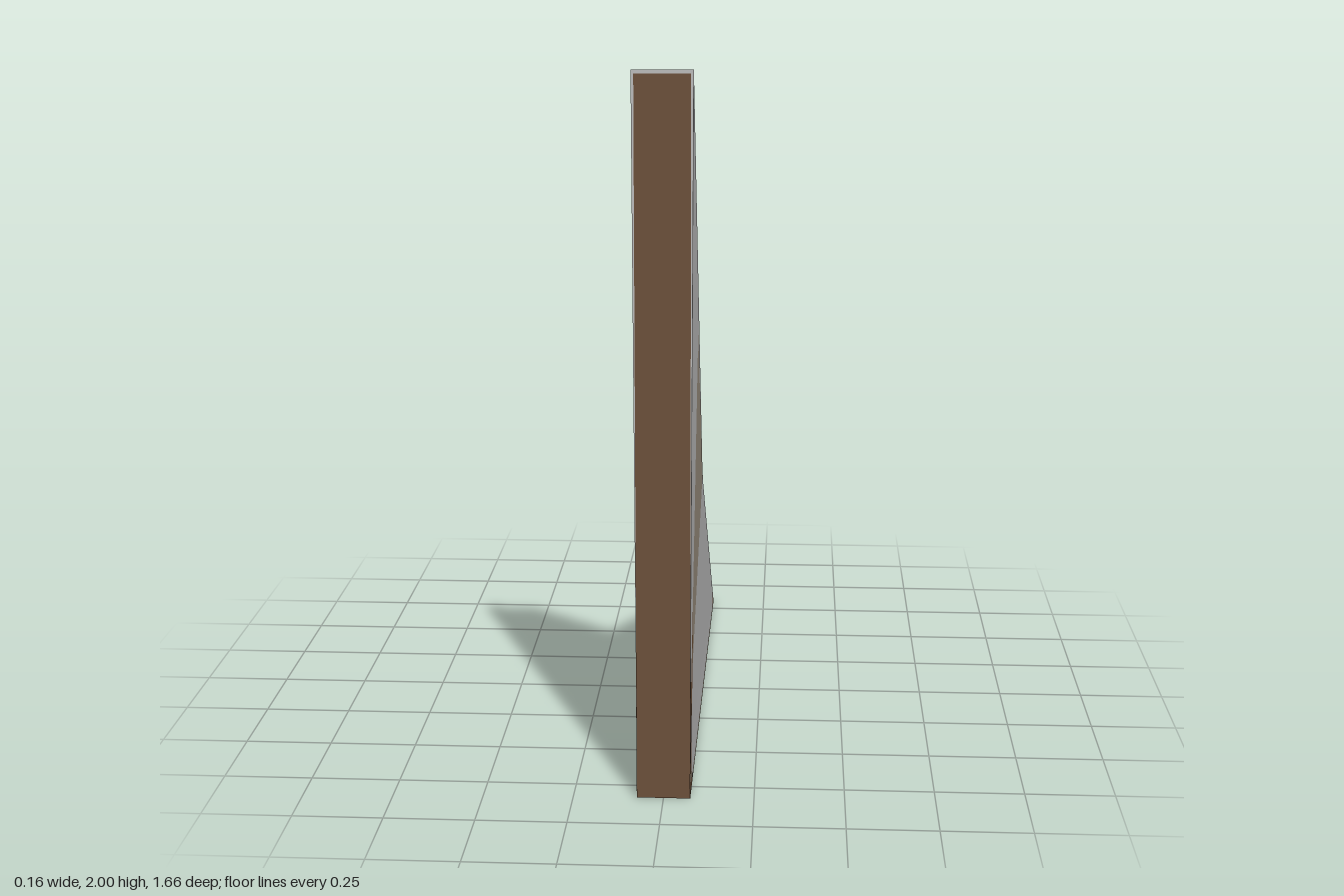
import * as THREE from 'three';

const paint = (name, color) => {
  const m = new THREE.MeshStandardMaterial({ color, side: THREE.DoubleSide });
  m.name = name;
  return m;
};

// Half thickness of the wedge, flaring slightly toward the tip.
const half = (y) => 0.074 + 0.007 * THREE.MathUtils.clamp((y - 0.2) / 1.8, 0, 1);

// Flat side patch from [z, y] points; side is +1 (left) or -1 (right).
function sidePatch(points, side) {
  const shape = new THREE.Shape(points.map(([z, y]) => new THREE.Vector2(z, y)));
  const geo = new THREE.ShapeGeometry(shape);
  const p = geo.attributes.position;
  for (let i = 0; i < p.count; i++) {
    const z = p.getX(i), y = p.getY(i);
    p.setXYZ(i, side * half(y), y, z);
  }
  if (side > 0) geo.setIndex(Array.from(geo.index.array).reverse());
  const flat = geo.toNonIndexed();
  flat.computeVertexNormals();
  return flat;
}

// Four-cornered face, corners counter-clockwise from outside.
function quad(a, b, c, d) {
  const geo = new THREE.BufferGeometry();
  geo.setAttribute('position', new THREE.Float32BufferAttribute([a, b, c, a, c, d].flat(), 3));
  geo.computeVertexNormals();
  return geo;
}

// Face across the thickness, between two profile points [z, y].
const band = ([z0, y0], [z1, y1]) => quad(
  [-half(y0), y0, z0], [half(y0), y0, z0], [half(y1), y1, z1], [-half(y1), y1, z1]);

export function createModel() {
  const model = new THREE.Group();
  model.name = 'wedgeButtress';
  const stone = paint('light grey stone', 0xbdbdbd);
  const plaster = paint('taupe plaster', 0x998e7e);
  const timber = paint('brown timber', 0x6c503a);
  const add = (name, geo, mat) => {
    const mesh = new THREE.Mesh(geo, mat);
    mesh.name = name;
    model.add(mesh);
  };

  // Upper stone and front post are alike on both sides
  for (const s of [1, -1]) {
    const tag = s > 0 ? 'left' : 'right';
    add(tag + 'UpperStone', sidePatch([[0.83, 0.36], [0.83, 2], [0.81, 1.97], [0.19, 0.82],
      [0.16, 0.765], [0.49, 1.24], [0.72, 0.52], [0.8, 0.3]], s), stone);
    add(tag + 'BackPost', sidePatch([[-0.83, 0], [-0.72, 0], [-0.72, 0.06], [-0.73, 0.076]], s), timber);
  }

  // Left side: stone facing over the lower part
  add('leftFrontPost', sidePatch([[0.83, 0], [0.83, 0.36], [0.8, 0.3], [0.72, 0.52],
    [0.71, 0.35], [0.77, 0.16], [0.75, 0.03], [0.72, 0]], 1), timber);
  add('leftPlaster', sidePatch([[0.72, 0.52], [0.49, 1.24], [0.16, 0.765], [0.14, 0.74],
    [0.71, 0.35]], 1), plaster);
  add('leftLowerStone', sidePatch([[0.77, 0.16], [0.71, 0.35], [0.14, 0.74], [0.1, 0.7],
    [-0.73, 0.076], [-0.72, 0.06], [-0.72, 0.02], [0.74, 0.02]], 1), stone);
  add('leftSill', sidePatch([[0.72, 0], [0.74, 0.02], [-0.72, 0.02], [-0.72, 0]], 1), plaster);

  // Right side: plaster panels between exposed posts
  add('rightFrontPost', sidePatch([[0.83, 0], [0.83, 0.36], [0.8, 0.3], [0.72, 0.52], [0.72, 0]], -1), timber);
  add('rightFrontPlaster', sidePatch([[0.72, 0], [0.72, 0.52], [0.49, 1.24], [0.16, 0.765],
    [0.1, 0.7], [0.1, 0]], -1), plaster);
  add('rightMiddlePost', sidePatch([[0.1, 0], [0.1, 0.7], [-0.1, 0.52], [-0.1, 0]], -1), timber);
  add('rightBackPlaster', sidePatch([[-0.1, 0], [-0.1, 0.52], [-0.28, 0.34], [-0.72, 0.06],
    [-0.72, 0]], -1), plaster);
  add('rightLowerStone', sidePatch([[0.1, 0.7], [-0.73, 0.076], [-0.72, 0.06],
    [-0.28, 0.34], [-0.1, 0.52]], -1), stone);

  // Sloping edge, from the tip down to the back
  const slope = [[0.83, 2], [0.81, 1.97], [0.19, 0.82], [0.16, 0.765], [0.115, 0.715],
    [0.1, 0.7], [0.075, 0.681], [-0.73, 0.076], [-0.83, 0]];
  const slopePaint = [stone, stone, plaster, plaster, timber, timber, stone, timber];
  slopePaint.forEach((mat, i) => add('slope' + (i + 1), band(slope[i], slope[i + 1]), mat));

  // Underside: posts and panels in turn
  const base = [-0.83, -0.72, -0.1, 0.1, 0.72, 0.83];
  for (let i = 0; i < 5; i++) {
    add('base' + (i + 1), band([base[i], 0], [base[i + 1], 0]), i % 2 ? plaster : timber);
  }

  // Front face with thin stone rims where the wedge flares
  const w = 0.074, top = 1.99, z = 0.83, h = half(2);
  add('frontFace', quad([-w, 0, z], [w, 0, z], [w, top, z], [-w, top, z]), timber);
  add('frontRimTop', quad([-w, top, z], [w, top, z], [h, 2, z], [-h, 2, z]), stone);
  add('frontRimLeft', quad([w, 0.2, z], [h, 2, z], [w, top, z], [w, 0.2, z]), stone);
  add('frontRimRight', quad([-w, 0.2, z], [-w, top, z], [-h, 2, z], [-w, 0.2, z]), stone);
  return model;
}
